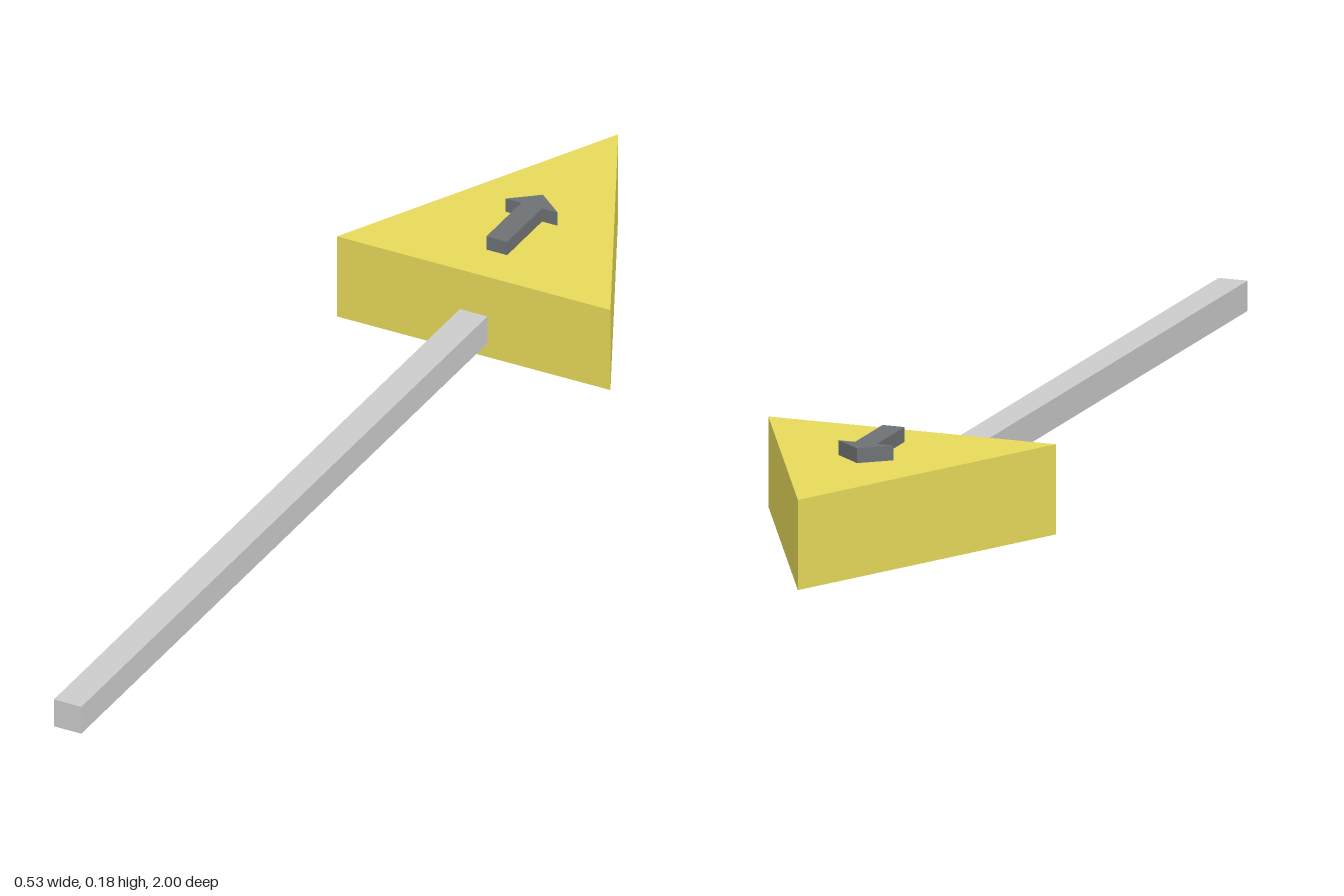
import * as THREE from 'three';

// Extrudes an outline given as [x, z] corners upward from y to y + height
function slab(name, outline, y, height, color) {
  const shape = new THREE.Shape(outline.map(([x, z]) => new THREE.Vector2(x, -z)));
  const geometry = new THREE.ExtrudeGeometry(shape, { depth: height, bevelEnabled: false });
  geometry.rotateX(-Math.PI / 2);
  const mesh = new THREE.Mesh(geometry, new THREE.MeshStandardMaterial({ color, flatShading: true }));
  mesh.name = name;
  mesh.position.y = y;
  return mesh;
}

export function createModel() {
  const model = new THREE.Group();
  model.name = 'arrowPointer';

  // Triangular head pointing to the back
  const headHeight = 0.158;
  model.add(slab('head', [[-0.263, -0.475], [0.263, -0.475], [0, -1]], 0, headHeight, 0xe6d95a));

  // Square bar running forward from the head
  const bar = new THREE.Mesh(
    new THREE.BoxGeometry(0.053, 0.053, 1.475),
    new THREE.MeshStandardMaterial({ color: 0xc4c6c8, flatShading: true })
  );
  bar.name = 'bar';
  bar.position.set(0, 0.0535, 0.2625);
  model.add(bar);

  // Small raised arrow on top of the head
  const cx = 0.002, stem = 0.02, wing = 0.05;
  const tail = -0.555, neck = -0.682, tip = -0.723;
  const half = [[stem, tail], [stem, neck], [wing, neck]];
  const outline = [
    ...half, [0, tip], ...half.map(([x, z]) => [-x, z]).reverse()
  ].map(([x, z]) => [x + cx, z]);
  model.add(slab('raisedArrow', outline, headHeight, 0.026, 0x6e7174));

  return model;
}
